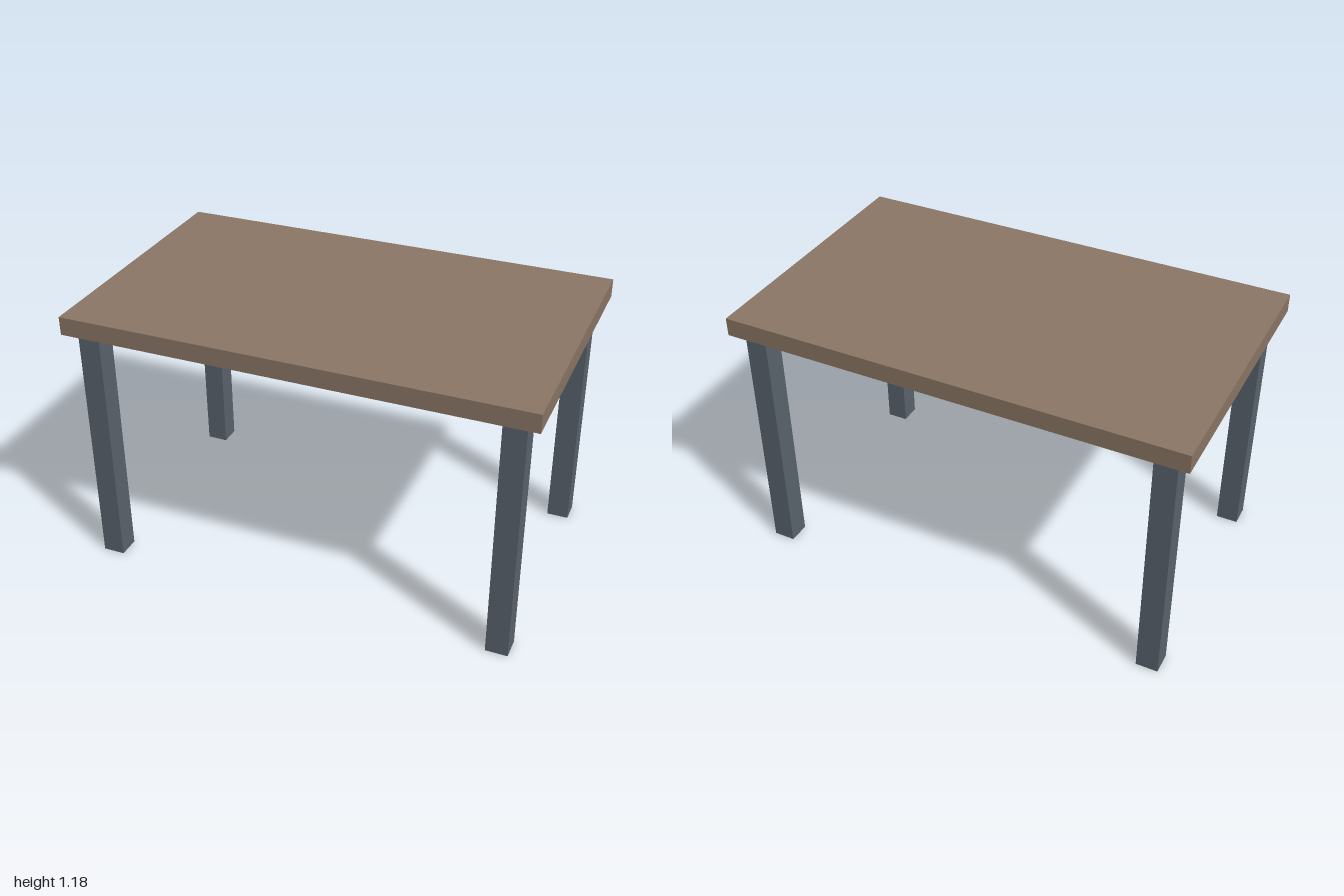
import * as THREE from 'three';

const LEG_HEIGHT = 1.104, TOP_THICKNESS = 0.08, LEG_WIDTH = 0.096;

export function createModel() {
  const table = new THREE.Group();
  table.name = 'table';

  const wood = new THREE.MeshStandardMaterial({ color: 0x8b7765 });
  const metal = new THREE.MeshStandardMaterial({ color: 0x5a636d });

  // Slab resting on the legs
  const top = new THREE.Mesh(new THREE.BoxGeometry(2, TOP_THICKNESS, 1.2), wood);
  top.name = 'tableTop';
  top.position.y = LEG_HEIGHT + TOP_THICKNESS / 2;
  table.add(top);

  // Four square legs, mirrored to the corners
  const legGeometry = new THREE.BoxGeometry(LEG_WIDTH, LEG_HEIGHT, LEG_WIDTH);
  for (const [sideName, sx] of [['Left', 1], ['Right', -1]]) {
    for (const [endName, sz] of [['front', 1], ['back', -1]]) {
      const leg = new THREE.Mesh(legGeometry, metal);
      leg.name = `${endName}${sideName}Leg`;
      leg.position.set(sx * 0.897, LEG_HEIGHT / 2, sz * 0.512);
      table.add(leg);
    }
  }

  return table;
}
